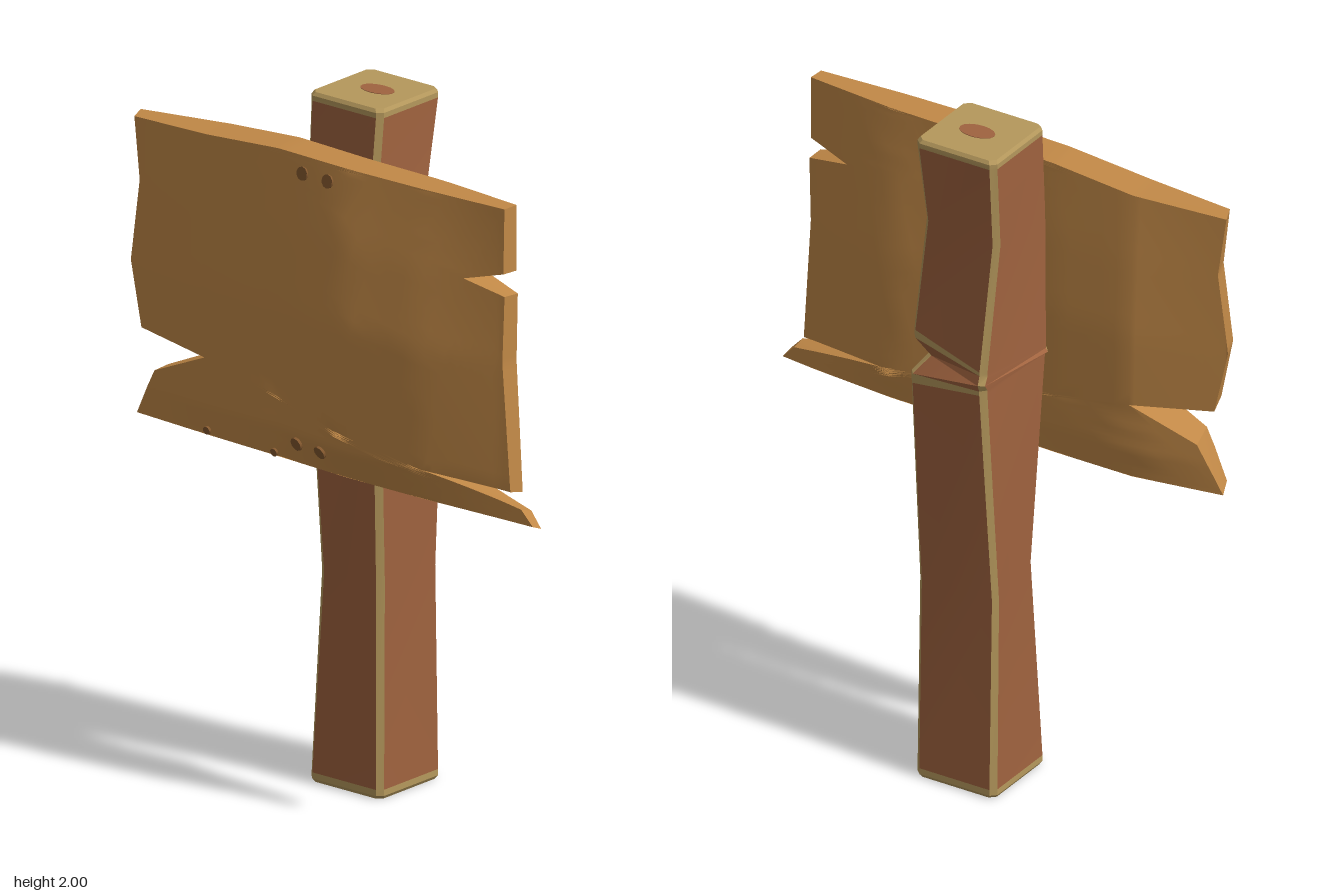
import * as THREE from 'three';
import { toCreasedNormals } from 'three/addons/utils/BufferGeometryUtils.js';

const material = (name, color, side = THREE.FrontSide) =>
  Object.assign(new THREE.MeshStandardMaterial({ color, side }), { name });

// Piecewise linear curve through knots
function curve(xs, ys, x) {
  if (x <= xs[0]) return ys[0];
  for (let i = 1; i < xs.length; i++) {
    if (x <= xs[i]) return ys[i - 1] + (ys[i] - ys[i - 1]) * (x - xs[i - 1]) / (xs[i] - xs[i - 1]);
  }
  return ys[ys.length - 1];
}

// Board thickness: thin at the rim, swollen in the middle
const KNOTS = [-0.73, -0.45, -0.18, 0.08, 0.35, 0.62, 0.73];
const RIM_FRONT = [0.155, 0.165, 0.17, 0.18, 0.175, 0.16, 0.155];
const MID_FRONT = [0.165, 0.185, 0.195, 0.245, 0.225, 0.17, 0.155];
const RIM_BACK = [0.1, 0.06, 0.065, 0.08, 0.085, 0.11, 0.125];
const MID_BACK = [0.1, 0.04, 0.045, 0.08, 0.055, 0.11, 0.125];
const swell = y => curve([0.96, 1.06, 1.42, 1.65, 1.87], [0, 0.8, 1, 0.6, 0], y);
const blend = (rim, mid, x, y) => {
  const a = curve(KNOTS, rim, x);
  return a + (curve(KNOTS, mid, x) - a) * swell(y);
};
const frontZ = (x, y) => blend(RIM_FRONT, MID_FRONT, x, y);
const backZ = (x, y) => blend(RIM_BACK, MID_BACK, x, y);

// Split every triangle into four
function subdivide(geometry) {
  const p = geometry.getAttribute('position');
  const out = [];
  const v = i => new THREE.Vector3().fromBufferAttribute(p, i);
  for (let i = 0; i < p.count; i += 3) {
    const a = v(i), b = v(i + 1), c = v(i + 2);
    const ab = a.clone().lerp(b, 0.5), bc = b.clone().lerp(c, 0.5), ca = c.clone().lerp(a, 0.5);
    for (const q of [a, ab, ca, ab, b, bc, ca, bc, c, ab, bc, ca]) out.push(q.x, q.y, q.z);
  }
  return new THREE.BufferGeometry().setAttribute('position', new THREE.Float32BufferAttribute(out, 3));
}

function boardGeometry() {
  // Outline with splintered notches
  const outline = [
    [-0.72, 0.972], [-0.18, 0.965], [0.73, 0.957], [0.69, 1.0], [0.37, 1.06], [0.655, 1.045],
    [0.63, 1.42], [0.635, 1.615], [0.5, 1.645], [0.63, 1.68], [0.63, 1.87], [-0.19, 1.87],
    [-0.46, 1.85], [-0.73, 1.84], [-0.705, 1.66], [-0.735, 1.42], [-0.695, 1.23],
    [-0.45, 1.2], [-0.645, 1.115],
  ].map(q => new THREE.Vector2(...q));
  let g = new THREE.ExtrudeGeometry(new THREE.Shape(outline), { depth: 1, bevelEnabled: false });
  if (g.index) g = g.toNonIndexed();
  for (let i = 0; i < 4; i++) g = subdivide(g);
  const p = g.getAttribute('position');
  for (let i = 0; i < p.count; i++) {
    const x = p.getX(i), y = p.getY(i), u = p.getZ(i);
    const z = THREE.MathUtils.lerp(backZ(x, y), frontZ(x, y), u);
    p.setXYZ(i, x + u * (0.01 - 0.02 * x), y + u * 0.014 * (1.8 - y), z);
  }
  return toCreasedNormals(g, 0.6);
}

// Post cross-sections: height, then corners front-left, front-right, back-right, back-left as [x, z]
const BASE = [[-0.18, 0.04], [0.08, 0.04], [0.08, -0.22], [-0.18, -0.22]];
const LOWER = [[-0.19, 0.04], [0.085, 0.06], [0.11, -0.205], [-0.155, -0.235]];
const GROOVE = [[-0.2, 0.04], [0.08, 0.055], [0.075, -0.16], [-0.155, -0.248]];
const UPPER = [[-0.19, 0.045], [0.09, 0.065], [0.11, -0.19], [-0.155, -0.235]];
const inset = (ring, s) => ring.map(([x, z]) => [-0.05 + (x + 0.05) * s, -0.09 + (z + 0.09) * s]);
const RINGS = [
  [0, inset(BASE, 0.95)],
  [0.01, BASE],
  [0.028, BASE],
  [0.62, [[-0.135, 0.045], [0.065, 0.02], [0.075, -0.215], [-0.185, -0.215]]],
  [1.22, LOWER],
  [1.25, LOWER],
  [1.3, GROOVE],
  [1.36, UPPER],
  [1.385, UPPER],
  [1.72, [[-0.18, 0.055], [0.08, 0.068], [0.085, -0.165], [-0.17, -0.19]]],
  [1.975, BASE],
  [1.99, BASE],
  [2, inset(BASE, 0.95)],
];

function postGeometry() {
  const CHAMFER = 0.016;
  const pinch = [0.1, 0.3, 1, 0.4]; // the groove opens towards the back corner
  const loops = RINGS.map(([y, ring]) => {
    const pts = ring.map(([x, z], k) =>
      new THREE.Vector3(x, Math.abs(y - 1.3) < 0.1 ? 1.3 + (y - 1.3) * pinch[k] : y, z));
    return pts.flatMap((c, k) => [pts[(k + 3) % 4], pts[(k + 1) % 4]].map(n =>
      c.clone().add(n.clone().sub(c).setLength(CHAMFER))));
  });
  const wood = [], trim = [];
  const push = (list, ...pts) => pts.forEach(q => list.push(q.x, q.y, q.z));
  const wornBands = [0, 1, 10, 11];
  for (let r = 0; r + 1 < loops.length; r++) {
    for (let i = 0; i < 8; i++) {
      const j = (i + 1) % 8;
      const chipped = (r === 4 || r === 7) && (i === 3 || i === 5);
      const list = i % 2 === 0 || wornBands.includes(r) || chipped ? trim : wood;
      const [a, b, c, d] = [loops[r][i], loops[r][j], loops[r + 1][j], loops[r + 1][i]];
      push(list, a, b, c, a, c, d);
    }
  }
  // End caps
  const low = loops[0], high = loops[loops.length - 1];
  for (let i = 1; i < 7; i++) {
    push(trim, low[0], low[i + 1], low[i]);
    push(trim, high[0], high[i], high[i + 1]);
  }
  const g = new THREE.BufferGeometry();
  g.setAttribute('position', new THREE.Float32BufferAttribute([...wood, ...trim], 3));
  const creased = toCreasedNormals(g, 0.35);
  creased.addGroup(0, wood.length / 3, 0);
  creased.addGroup(wood.length / 3, trim.length / 3, 1);
  return creased;
}

export function createModel() {
  const boardWood = material('board wood', 0xc28947);
  const postWood = material('post wood', 0xa0633f);
  const wornWood = material('worn wood', 0xb5985c);
  const nailBrown = material('nail brown', 0x85592f);
  const model = new THREE.Group();
  model.name = 'signpost';
  const add = (name, geometry, mat) => {
    const mesh = new THREE.Mesh(geometry, mat);
    mesh.name = name;
    model.add(mesh);
    return mesh;
  };

  add('post', postGeometry(), [postWood, wornWood]);
  add('board', boardGeometry(), boardWood);

  // Bare patch on the post top
  const patch = add('topPatch', new THREE.CylinderGeometry(0.055, 0.055, 0.003, 16), postWood);
  patch.scale.z = 0.6;
  patch.position.set(-0.043, 2, -0.093);

  // Nail heads, laid flat on the swollen board face
  const nailShape = new THREE.CylinderGeometry(0.02, 0.02, 0.008, 10).rotateX(Math.PI / 2);
  const nails = [[-0.08, 1.82, 1], [0.015, 1.82, 1], [-0.085, 1.04, 1], [0.01, 1.04, 1],
    [-0.43, 0.995, 0.6], [-0.185, 0.988, 0.6]];
  for (const [x, y, size] of nails) {
    const e = 0.01;
    const nail = add('nail', nailShape, nailBrown);
    nail.position.set(x, y, frontZ(x, y) + 0.001);
    const normal = new THREE.Vector3(
      (frontZ(x - e, y) - frontZ(x + e, y)) / (2 * e), (frontZ(x, y - e) - frontZ(x, y + e)) / (2 * e), 1);
    nail.lookAt(nail.position.clone().add(normal));
    nail.scale.set(size, size, 1);
  }
  return model;
}
